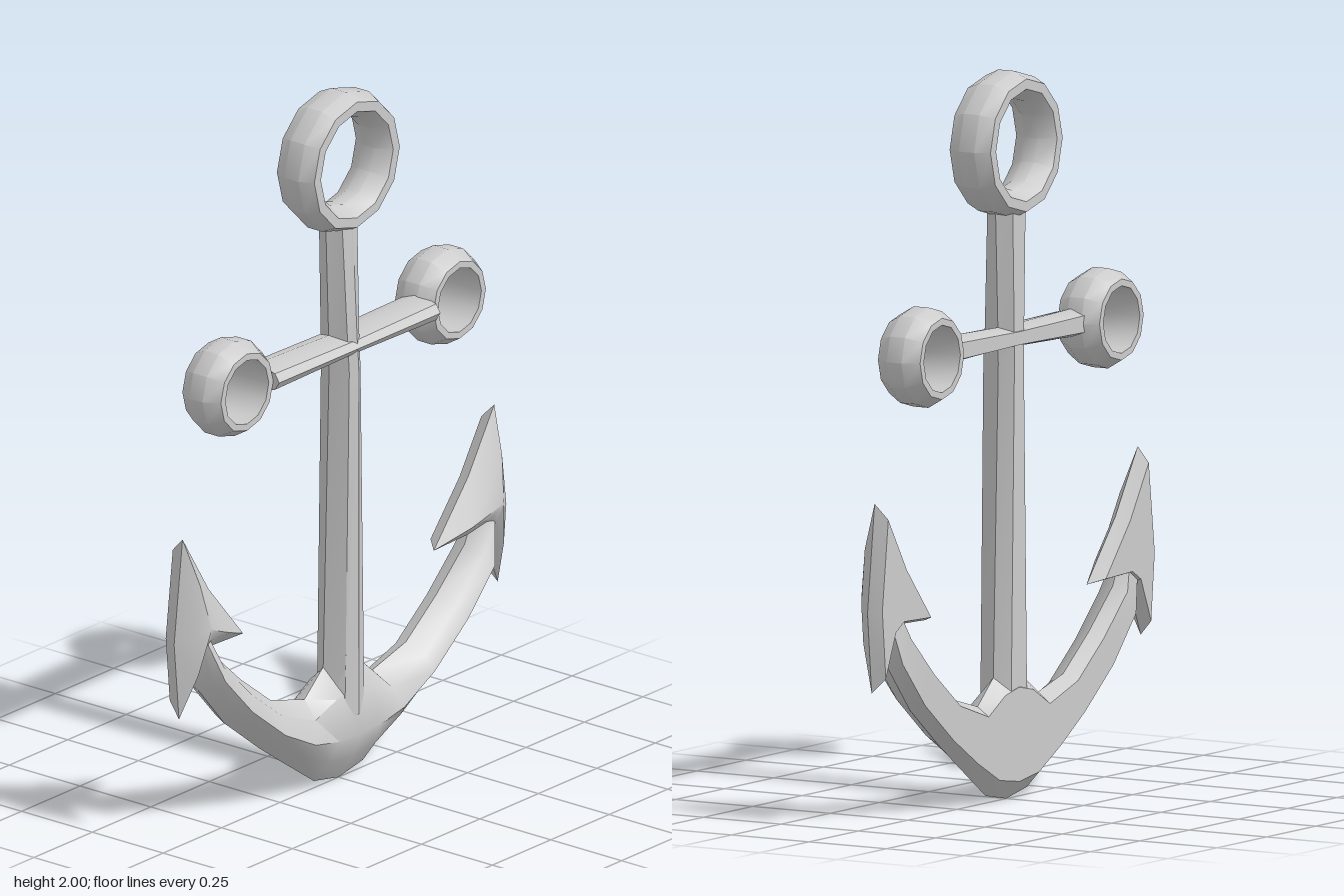
import * as THREE from 'three';
import { toCreasedNormals } from 'three/addons/utils/BufferGeometryUtils.js';

const material = new THREE.MeshStandardMaterial({ color: 0xcccccc });

// Skin a row of equal-length point loops and close both ends around their centres.
function loft(sections, crease = 0.6) {
  const n = sections[0].length, pos = [];
  const tri = (...pts) => pts.forEach((p) => pos.push(...p));
  for (let i = 0; i < sections.length - 1; i++) {
    const s = sections[i], t = sections[i + 1];
    for (let j = 0; j < n; j++) {
      const k = (j + 1) % n;
      tri(s[j], s[k], t[k]);
      tri(s[j], t[k], t[j]);
    }
  }
  const middle = (s) => [0, 1, 2].map((a) => s.reduce((sum, p) => sum + p[a], 0) / n);
  const first = sections[0], last = sections[sections.length - 1];
  const c0 = middle(first), c1 = middle(last);
  for (let j = 0; j < n; j++) {
    const k = (j + 1) % n;
    tri(c0, first[k], first[j]);
    tri(c1, last[j], last[k]);
  }
  const geo = new THREE.BufferGeometry();
  geo.setAttribute('position', new THREE.Float32BufferAttribute(pos, 3));
  return toCreasedNormals(geo, crease);
}

// Rounded front, bevelled flat back: [offset across, depth] for half width w and front depth f.
const beam = (w, f, back) => [
  [0, f], [0.6 * w, 0.8 * f], [w, 0], [0.6 * w, back],
  [-0.6 * w, back], [-w, 0], [-0.6 * w, 0.8 * f],
];

// Faceted ring turned about z from a closed [radius, z] profile.
function ring(profile) {
  const pts = [...profile, profile[0]].map(([r, z]) => new THREE.Vector2(r, z));
  const geo = new THREE.LatheGeometry(pts, 12).rotateX(Math.PI / 2);
  return toCreasedNormals(geo, 0.55);
}

export function createModel() {
  const group = new THREE.Group();
  const add = (name, geo, x = 0, y = 0, z = 0) => {
    const mesh = new THREE.Mesh(geo, material);
    mesh.name = name;
    mesh.position.set(x, y, z);
    group.add(mesh);
  };

  // Shank: tapers upward, then flares slightly under the ring
  const shank = [
    [0.2, 0.07, 0.072], [0.34, 0.065, 0.072], [1.2, 0.04, 0.073],
    [1.3, 0.042, 0.066], [1.63, 0.054, 0.05],
  ];
  add('shank', loft(shank.map(([y, w, f]) => beam(w, f, -0.042).map(([x, z]) => [x, y, z]))));

  // Crossbar
  const bar = [[-0.345, 0.039], [0, 0.03], [0.345, 0.039]];
  add('crossbar', loft(bar.map(([x, w]) =>
    beam(w, 0.076, -0.045).map(([v, z]) => [x, 1.27 - v, z]))));

  // Curved arms: stations of [outer x, outer y, inner x, inner y]
  const half = [
    [0, 0, 0, 0.36], [0.105, 0.02, 0.065, 0.34], [0.22, 0.1, 0.145, 0.27],
    [0.34, 0.185, 0.29, 0.31], [0.487, 0.3, 0.42, 0.41],
    [0.6, 0.43, 0.54, 0.52], [0.635, 0.56, 0.58, 0.6],
  ];
  const left = half.slice(1).reverse().map(([a, b, c, d]) => [-a, b, -c, d]);
  // Cross-section as [share of the way from outer to inner edge, depth]
  const armSection = [
    [1, 0], [0.75, 0.055], [0.4, 0.078], [0.2, 0.05], [0, 0], [0.14, -0.043], [0.86, -0.043],
  ];
  const stations = [...left, ...half];
  add('arms', loft(stations.map(([ox, oy, ix, iy], i) => {
    const end = i === 0 || i === stations.length - 1 ? 0.6 : 1;
    return armSection.map(([t, z]) => [ox + (ix - ox) * t, oy + (iy - oy) * t, z * end]);
  }), 0.7));

  // Flukes: barbed outline, domed front, bevelled flat back
  const outline = [
    [0.682, 0.37], [0.703, 0.593], [0.667, 0.89], [0.555, 0.712],
    [0.408, 0.54], [0.57, 0.545], [0.62, 0.515],
  ];
  const layers = [[0.84, -0.04], [1, 0], [0.5, 0.045], [0.04, 0.067]];
  const cx = 0.625, cy = 0.63;
  for (const side of [1, -1]) {
    const points = side > 0 ? outline : [...outline].reverse();
    add(side > 0 ? 'leftFluke' : 'rightFluke', loft(layers.map(([s, z]) =>
      points.map(([x, y]) => [side * (cx + (x - cx) * s), cy + (y - cy) * s, z]))));
  }

  // Top ring with funnelled hole
  add('topRing', ring([
    [0.127, -0.02], [0.155, -0.066], [0.183, -0.066], [0.202, -0.025],
    [0.202, 0.025], [0.183, 0.066], [0.155, 0.066], [0.127, 0.02],
  ]), 0, 1.802, 0);

  // Crossbar end rings with straight holes
  for (const side of [1, -1]) {
    add(side > 0 ? 'leftRing' : 'rightRing', ring([
      [0.093, -0.068], [0.112, -0.068], [0.138, -0.024],
      [0.138, 0.024], [0.112, 0.068], [0.093, 0.068],
    ]), side * 0.455, 1.27, -0.015);
  }
  return group;
}
